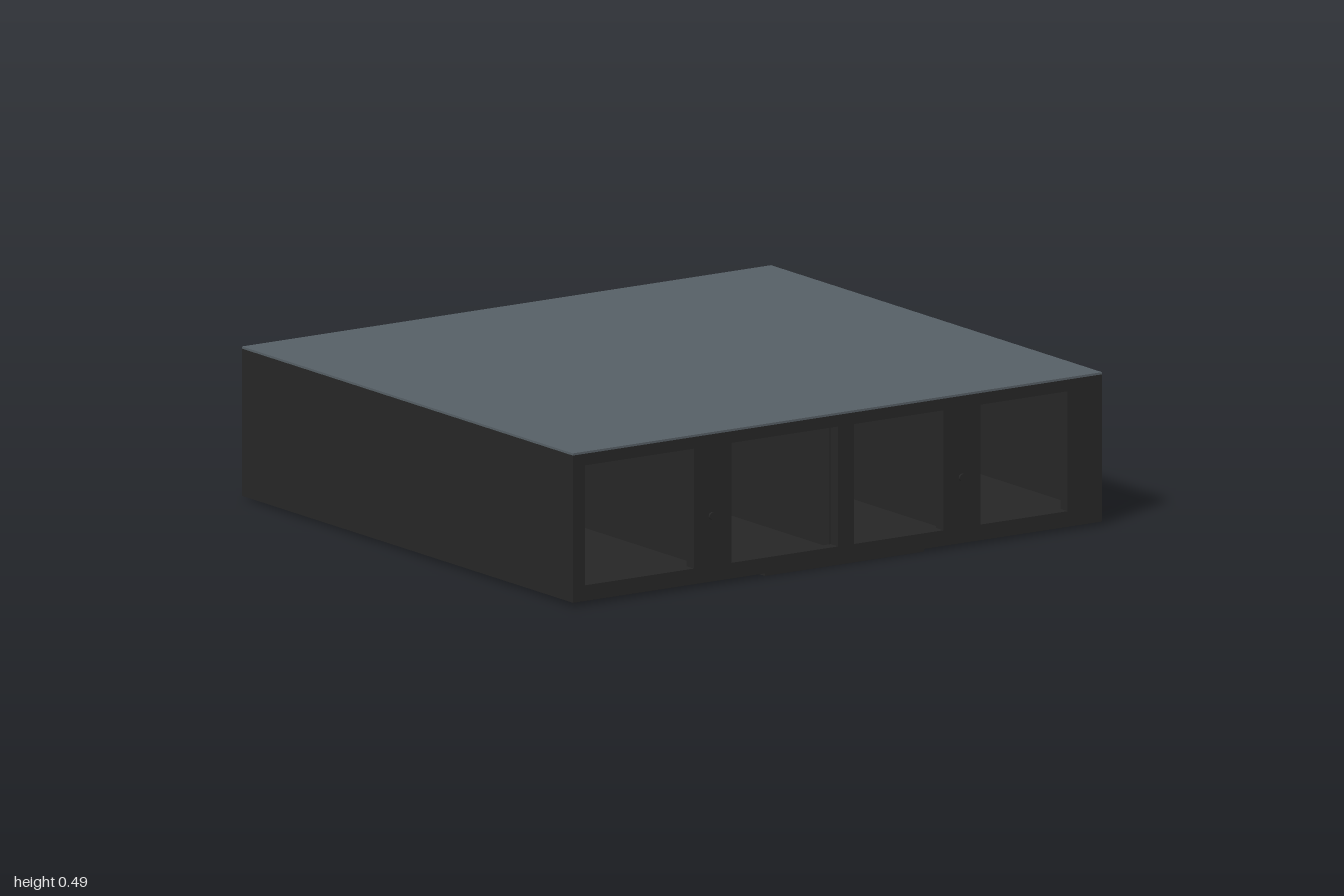
import * as THREE from 'three';

const BOTTOM = 0.01, TOP = 0.48, FRONT = 0.905, BACK = -0.91, FRAME = 0.04;

export function createModel() {
  const model = new THREE.Group();
  model.name = 'openBayCabinet';
  const black = new THREE.MeshStandardMaterial({ color: 0x262626 });
  black.name = 'charcoal';
  const slate = new THREE.MeshStandardMaterial({ color: 0x565f65 });
  slate.name = 'slateGrey';

  function add(name, geometry, material) {
    const mesh = new THREE.Mesh(geometry, material);
    mesh.name = name;
    model.add(mesh);
    return mesh;
  }

  // Box given by its limits on each axis
  function box(name, [x0, x1], [y0, y1], [z0, z1], material = black) {
    add(name, new THREE.BoxGeometry(x1 - x0, y1 - y0, z1 - z0), material)
      .position.set((x0 + x1) / 2, (y0 + y1) / 2, (z0 + z1) / 2);
  }

  function rectangle(target, x0, x1, y0, y1) {
    target.moveTo(x0, y0);
    target.lineTo(x1, y0);
    target.lineTo(x1, y1);
    target.lineTo(x0, y1);
    target.closePath();
    return target;
  }

  // Flat frame with one opening per bay
  function frame(name, bays, z) {
    const shape = rectangle(new THREE.Shape(), -1, 1, BOTTOM, TOP);
    for (const [x0, x1] of bays) shape.holes.push(rectangle(new THREE.Path(), x0, x1, 0.06, 0.443));
    add(name, new THREE.ExtrudeGeometry(shape, { depth: FRAME, bevelEnabled: false }), black).position.z = z;
  }

  frame('frontFrame', [[-0.955, -0.543], [-0.4, 0.002], [0.063, 0.4], [0.54, 0.87]], FRONT - FRAME);
  frame('backFrame', [[-0.957, -0.48], [-0.44, -0.002], [0.028, 0.435], [0.475, 0.957]], BACK);

  // Shell between the two frames
  const depth = [BACK + FRAME, FRONT - FRAME];
  box('floor', [-1, 1], [BOTTOM, 0.05], depth);
  box('ceiling', [-1, 1], [0.45, TOP], depth);
  box('rightWall', [-1, -0.965], [0.05, 0.45], depth);
  box('leftWall', [0.965, 1], [0.05, 0.45], depth);

  // Walls between the bays
  for (const x of [-0.46, 0.013, 0.455]) box('divider', [x - 0.015, x + 0.015], [0.05, 0.45], depth);

  // Thin top sheet and base pad
  box('topSheet', [-1, 1], [TOP, 0.487], [BACK, FRONT], slate);
  box('basePad', [-0.27, 0.33], [0, BOTTOM], [0.05, 0.9]);

  // Small studs on the wide front posts
  for (const x of [-0.475, 0.47]) {
    const stud = add('stud', new THREE.CylinderGeometry(0.012, 0.012, 0.008, 16), black);
    stud.rotation.x = Math.PI / 2;
    stud.position.set(x, 0.22, FRONT + 0.003);
  }
  return model;
}
